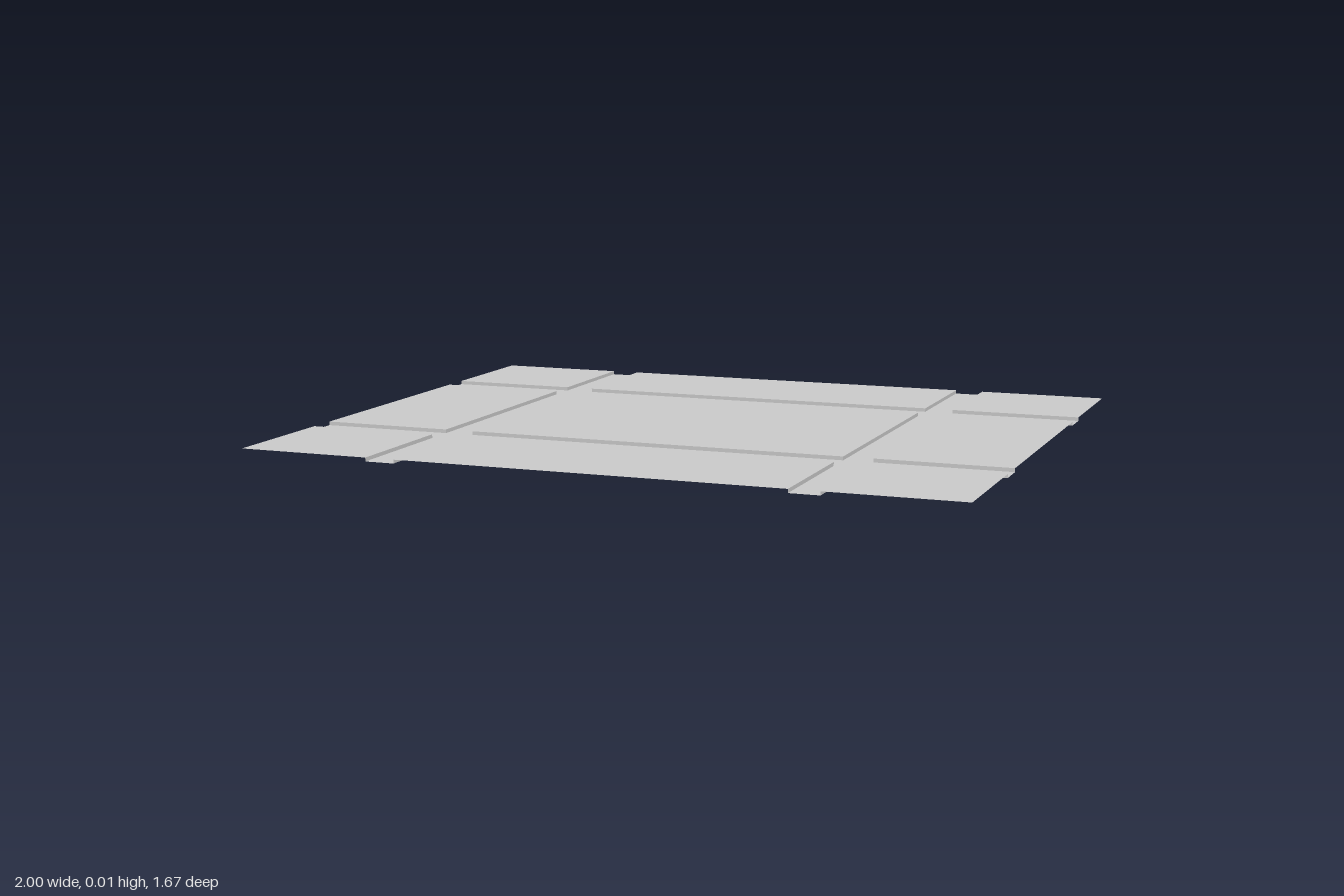
import * as THREE from 'three';

const H = 0.0104; // height of the raised panels above the channels
const XS = [-1, -0.625, -0.5417, 0.5417, 0.625, 1];
const ZS = [-0.8333, -0.4583, -0.375, 0.375, 0.4583, 0.8333];

const material = new THREE.MeshStandardMaterial({
  color: 0xcccccc, flatShading: true, side: THREE.DoubleSide,
});

// Horizontal rectangle facing up
function slab(name, x0, x1, z0, z1, y) {
  const geo = new THREE.PlaneGeometry(x1 - x0, z1 - z0).rotateX(-Math.PI / 2);
  const mesh = new THREE.Mesh(geo, material);
  mesh.position.set((x0 + x1) / 2, y, (z0 + z1) / 2);
  mesh.name = name;
  return mesh;
}

// Vertical step between channel floor and panel, facing along angle
function step(length, x, z, angle) {
  const mesh = new THREE.Mesh(new THREE.PlaneGeometry(length, H), material);
  mesh.position.set(x, H / 2, z);
  mesh.rotation.y = angle;
  mesh.name = 'panelStep';
  return mesh;
}

export function createModel() {
  const model = new THREE.Group();
  model.name = 'embossedSheet';

  for (let i = 0; i < 5; i++) {
    for (let j = 0; j < 5; j++) {
      const [x0, x1, z0, z1] = [XS[i], XS[i + 1], ZS[j], ZS[j + 1]];

      // Channel floor between the panels
      if (i % 2 || j % 2) {
        model.add(slab('channelFloor', x0, x1, z0, z1, 0));
        continue;
      }

      // Raised panel, with steps only where it borders a channel
      const panel = new THREE.Group();
      panel.name = 'raisedPanel';
      panel.add(slab('panelTop', x0, x1, z0, z1, H));
      const cx = (x0 + x1) / 2, cz = (z0 + z1) / 2;
      if (i > 0) panel.add(step(z1 - z0, x0, cz, -Math.PI / 2));
      if (i < 4) panel.add(step(z1 - z0, x1, cz, Math.PI / 2));
      if (j > 0) panel.add(step(x1 - x0, cx, z0, Math.PI));
      if (j < 4) panel.add(step(x1 - x0, cx, z1, 0));
      model.add(panel);
    }
  }
  return model;
}
